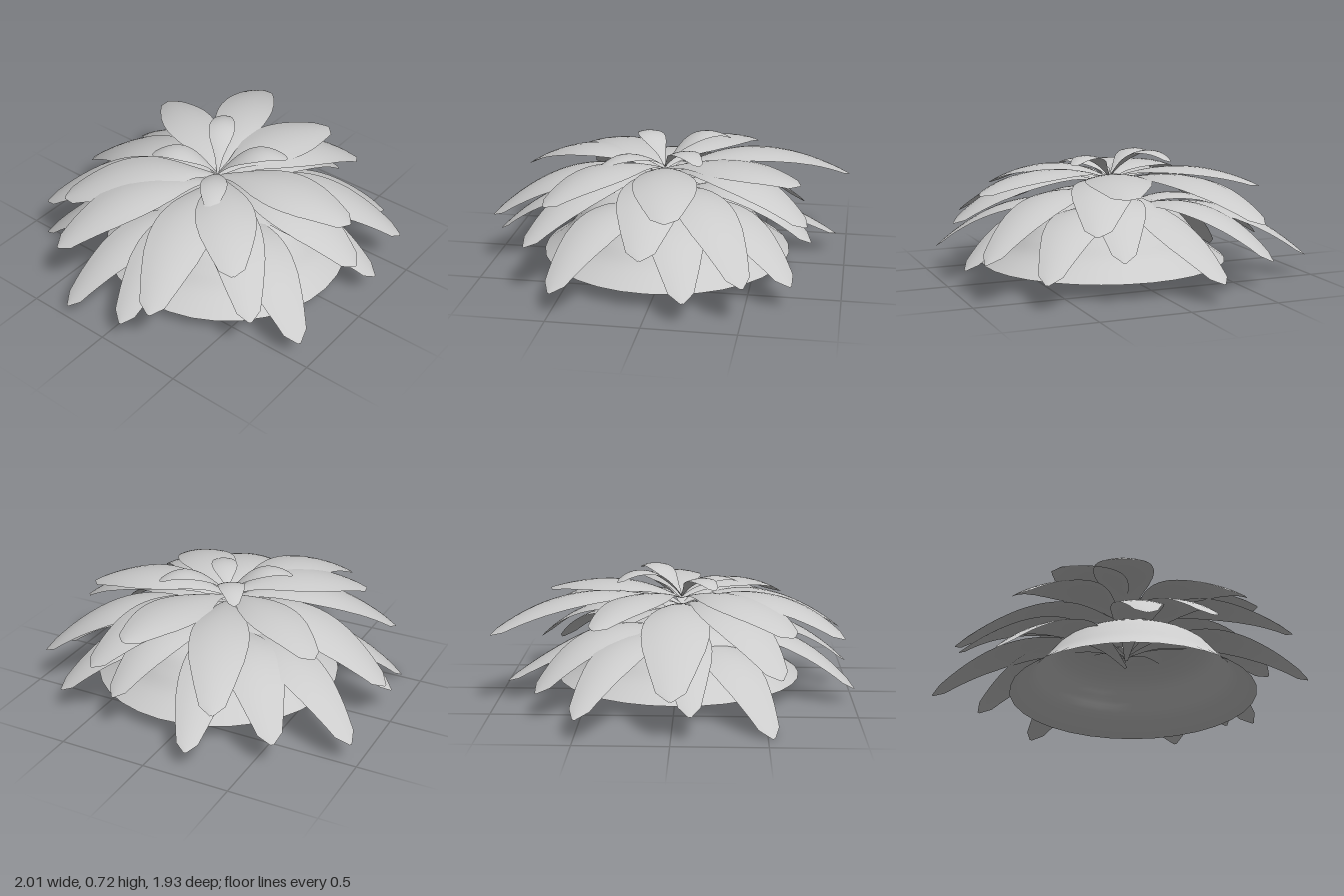
import * as THREE from 'three';

const material = new THREE.MeshStandardMaterial({ color: 0xcccccc, side: THREE.DoubleSide });
const CENTER = { x: -0.03, z: 0.03 };

// Half-width of a leaf along its length, as a fraction of the widest point
const WIDTHS = [[0, 0.06], [0.15, 0.3], [0.35, 0.79], [0.47, 0.97], [0.58, 1], [0.7, 0.9], [0.83, 0.68], [0.95, 0.42], [1, 0.05]];
function widthAt(u) {
  let i = 1;
  while (i < WIDTHS.length - 1 && u > WIDTHS[i][0]) i++;
  const [u0, w0] = WIDTHS[i - 1], [u1, w1] = WIDTHS[i];
  return w0 + (w1 - w0) * (u - u0) / (u1 - u0);
}

// Arching leaf from the crown to its tip, with edges that droop slightly
function leaf(name, [x, y, z], halfWidth, baseY, peakY) {
  const dx = x - CENTER.x, dz = z - CENTER.z;
  const length = Math.hypot(dx, dz);
  const curve = new THREE.QuadraticBezierCurve3(
    new THREE.Vector3(CENTER.x, baseY, CENTER.z),
    new THREE.Vector3(CENTER.x + dx * 0.5, peakY, CENTER.z + dz * 0.5),
    new THREE.Vector3(x, y, z));
  const side = new THREE.Vector3(dz / length, 0, -dx / length);
  const across = 6, along = 20;
  const geometry = new THREE.PlaneGeometry(1, 1, across, along);
  const pos = geometry.attributes.position;
  for (let j = 0; j <= along; j++) {
    const u = j / along, p = curve.getPoint(u), w = halfWidth * widthAt(u);
    for (let i = 0; i <= across; i++) {
      const s = (i / across) * 2 - 1;
      pos.setXYZ(j * (across + 1) + i,
        p.x + side.x * w * s, p.y - 0.16 * w * s * s, p.z + side.z * w * s);
    }
  }
  geometry.computeVertexNormals();
  const mesh = new THREE.Mesh(geometry, material);
  mesh.name = name;
  return mesh;
}

// Each ring: base and arch heights from the tip height, then the leaves as
// tip x, y, z, half-width and, where a leaf bends differently, its own heights
const RINGS = {
  crownLeaf: {
    base: () => 0.55, peak: (y) => y + 0.12,
    leaves: [
      [-0.22, 0.65, -0.29, 0.075], [0.32, 0.67, -0.19, 0.075, 0.55, 0.82],
      [-0.36, 0.59, 0.24, 0.075], [0.21, 0.66, 0.34, 0.075],
    ],
  },
  upperLeaf: {
    base: () => 0.54, peak: () => 0.71,
    leaves: [
      [0.10, 0.51, 0.84, 0.175], [0.75, 0.55, 0.25, 0.18, 0.54, 0.69],
      [0.41, 0.52, -0.70, 0.15], [-0.64, 0.46, -0.58, 0.185], [-0.60, 0.47, 0.58, 0.165],
    ],
  },
  middleLeaf: {
    base: () => 0.5, peak: (y) => 0.59 + 0.4 * y,
    leaves: [
      [1.0, 0.42, -0.41, 0.16], [0.80, 0.38, 0.43, 0.17], [0.0, 0.22, -0.96, 0.185],
      [-0.93, 0.40, -0.36, 0.165], [-0.96, 0.31, 0.31, 0.17], [-0.67, 0.30, 0.75, 0.15],
      [-0.01, 0.35, 0.96, 0.18], [-0.57, 0.29, -0.80, 0.165],
    ],
  },
  lowerLeaf: {
    base: (y) => 0.24 + 0.5 * y, peak: (y) => 0.53 + 0.64 * y,
    leaves: [
      [0.94, 0.11, -0.22, 0.14, 0.5, 0.44], [0.82, 0.24, 0.29, 0.15], [0.74, 0.14, 0.68, 0.16],
      [0.51, 0.22, 0.93, 0.16, 0.42, 0.7], [0.21, 0.13, 0.96, 0.16], [-0.49, 0.13, 0.94, 0.16],
      [-0.98, 0.155, 0.12, 0.15], [-1.0, 0.09, -0.25, 0.14], [-0.53, 0.0, -0.87, 0.15],
      [-0.10, 0.14, -0.96, 0.14], [0.49, 0.12, -0.96, 0.15], [0.73, 0.155, -0.62, 0.16],
    ],
  },
};

export function createModel() {
  const group = new THREE.Group();
  group.name = 'leafyPlant';

  // Flared hollow mound under the leaves, open at the bottom
  const profile = new THREE.SplineCurve([
    [0.70, 0.09], [0.58, 0.18], [0.505, 0.27], [0.42, 0.36], [0.28, 0.415], [0.001, 0.43],
  ].map(([r, y]) => new THREE.Vector2(r, y)));
  const mound = new THREE.Mesh(new THREE.LatheGeometry(profile.getPoints(24), 32), material);
  mound.name = 'mound';
  mound.position.set(-0.01, 0, 0.08);
  group.add(mound);

  // Four rings of leaves
  for (const [name, { base, peak, leaves }] of Object.entries(RINGS)) {
    const ring = new THREE.Group();
    ring.name = name + 'Ring';
    for (const [x, y, z, w, baseY = base(y), peakY = peak(y)] of leaves) {
      ring.add(leaf(name, [x, y, z], w, baseY, peakY));
    }
    group.add(ring);
  }
  return group;
}
